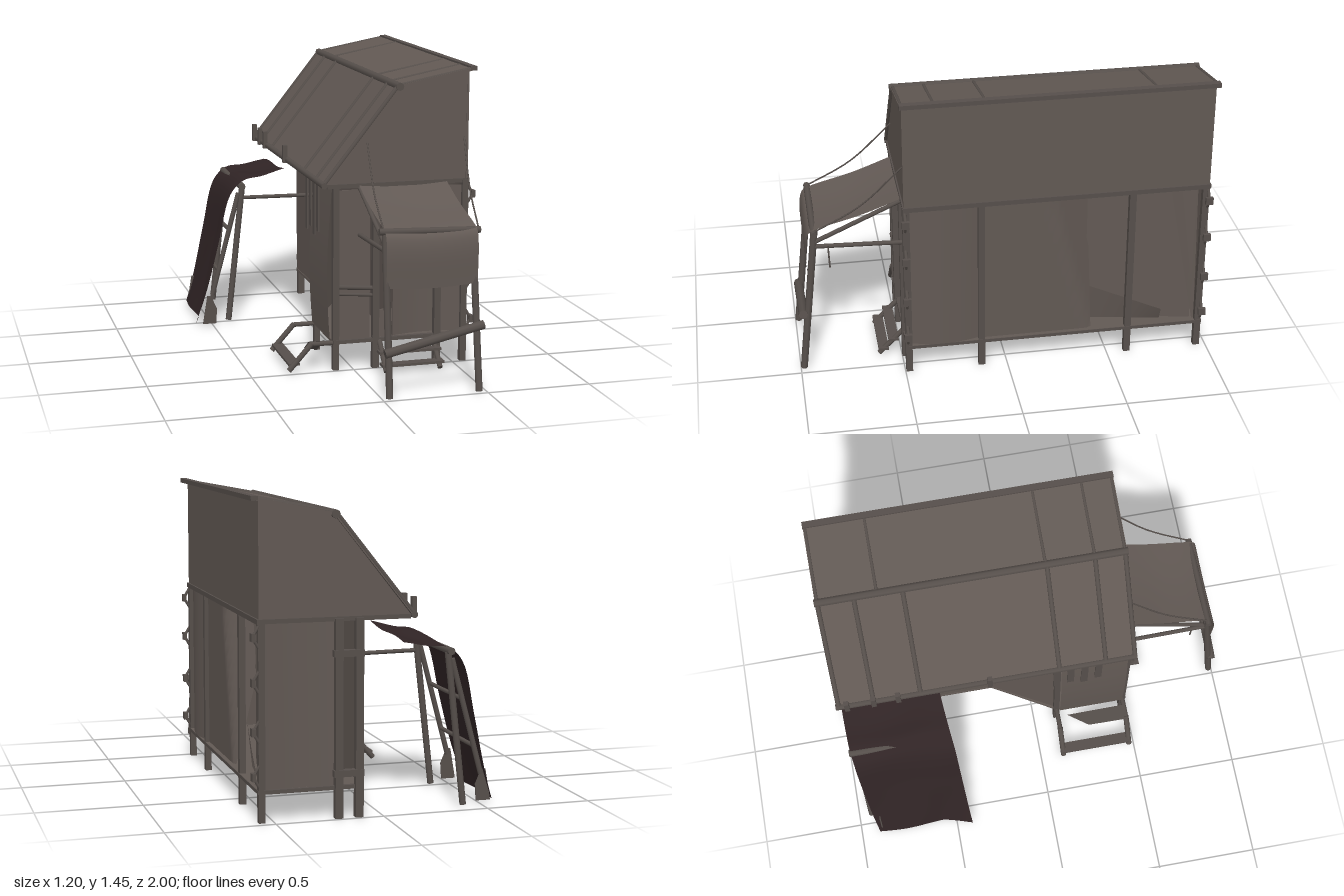
import * as THREE from 'three';

const V = (x, y, z) => new THREE.Vector3(x, y, z);

export function createModel() {
  const model = new THREE.Group();
  model.name = 'stiltHut';
  const mat = (name, color) => {
    const m = new THREE.MeshStandardMaterial({ color, side: THREE.DoubleSide });
    m.name = name;
    return m;
  };
  const wall = mat('weathered panel', 0x625954);
  const timber = mat('dark timber', 0x564f4b);
  const hide = mat('dark hide', 0x302425);

  const add = (name, geo, m) => {
    const mesh = new THREE.Mesh(geo, m);
    mesh.name = name;
    model.add(mesh);
    return mesh;
  };
  // Axis-aligned box given by its limits
  const box = (name, x0, x1, y0, y1, z0, z1, m = timber) =>
    add(name, new THREE.BoxGeometry(x1 - x0, y1 - y0, z1 - z0), m)
      .position.set((x0 + x1) / 2, (y0 + y1) / 2, (z0 + z1) / 2);
  // Round pole between two points
  const pole = (name, a, b, r = 0.014, m = timber) => {
    const mesh = add(name, new THREE.CylinderGeometry(r, r, a.distanceTo(b), 8), m);
    mesh.position.copy(a).lerp(b, 0.5);
    mesh.quaternion.setFromUnitVectors(V(0, 1, 0), b.clone().sub(a).normalize());
  };
  // Surface from a rule p(u, v)
  const sheet = (name, p, nu, nv, m = wall) => {
    const geo = new THREE.PlaneGeometry(1, 1, nu, nv);
    const pos = geo.attributes.position;
    for (let i = 0; i < pos.count; i++) {
      const q = p(pos.getX(i) + 0.5, pos.getY(i) + 0.5);
      pos.setXYZ(i, q.x, q.y, q.z);
    }
    geo.computeVertexNormals();
    add(name, geo, m);
  };
  // Flat polygon in x and y, extruded along z
  const slab = (name, pts, z0, z1, m = wall) => {
    const shape = new THREE.Shape(pts.map(([x, y]) => new THREE.Vector2(x, y)));
    const geo = new THREE.ExtrudeGeometry(shape, { depth: z1 - z0, bevelEnabled: false });
    add(name, geo, m).position.z = z0;
  };

  // Floor, wider at the front where the side porch is
  const floor = new THREE.Shape([[0.57, -0.49], [-0.1, -0.49], [-0.1, -0.12], [0.085, 0.2], [0.085, 0.97], [0.57, 0.97]]
    .map(([x, y]) => new THREE.Vector2(x, y)));
  const floorGeo = new THREE.ExtrudeGeometry(floor, { depth: 0.014, bevelEnabled: false });
  floorGeo.rotateX(-Math.PI / 2);
  add('floor', floorGeo, wall).position.y = 0.132;
  box('loftFloor', -0.12, 0.56, 0.895, 0.902, -0.96, 0.48, wall);

  // Stilts and frame posts
  for (const z of [0.48, 0.125, -0.6, -0.955]) box('sidePost', 0.54, 0.57, 0, 0.9, z - 0.016, z + 0.016);
  for (const z of [0.475, 0.12]) box('porchPost', -0.1, -0.07, 0, 0.9, z - 0.015, z + 0.015);
  for (const x of [0.11, 0.205]) box('backDoorPost', x - 0.018, x + 0.018, 0, 0.9, -0.99, -0.955);
  for (const y of [0.22, 0.76]) box('backDoorBracket', 0.09, 0.23, y - 0.03, y, -0.995, -0.96);
  for (const x of [0.11, 0.42]) box('frontPost', x - 0.016, x + 0.016, 0, 0.88, 0.468, 0.5);

  // Horizontal beams
  for (const z of [0.483, -0.963]) {
    box('endBeam', -0.13, 0.575, 0.888, 0.908, z - 0.012, z + 0.012);
    box('endSill', z > 0 ? -0.1 : 0.085, 0.57, 0.13, 0.148, z - 0.01, z + 0.01);
  }
  box('highSideBeam', 0.555, 0.575, 0.885, 0.908, -0.975, 0.495);
  box('highSideSill', 0.555, 0.573, 0.13, 0.146, -0.97, 0.49);
  pole('eavePole', V(-0.145, 0.905, -0.985), V(-0.145, 0.905, 0.5), 0.016);

  // Upper walls
  const gable = [[-0.14, 0.905], [0.219, 1.357], [0.565, 1.427], [0.565, 0.905]];
  slab('frontGable', gable, 0.478, 0.488);
  slab('backGable', gable, -0.968, -0.958);
  box('upperSideWall', 0.557, 0.567, 0.9, 1.43, -0.97, 0.49, wall);

  // Two-pitch roof with battens
  slab('steepRoof', [[-0.15, 0.905], [-0.14, 0.9], [0.225, 1.355], [0.215, 1.365]], -0.98, 0.5);
  slab('shallowRoof', [[0.215, 1.352], [0.6, 1.428], [0.6, 1.442], [0.215, 1.366]], -0.98, 0.5);
  pole('ridgePole', V(0.22, 1.36, -0.985), V(0.22, 1.36, 0.505), 0.02);
  box('topEdge', 0.57, 0.602, 1.424, 1.445, -0.982, 0.502);
  for (const z of [-0.97, -0.8, -0.57, 0.115, 0.345, 0.49])
    pole('steepBatten', V(-0.14, 0.915, z), V(0.215, 1.362, z), 0.012);
  for (const z of [-0.97, -0.69, 0.11, 0.345, 0.49])
    pole('shallowBatten', V(0.22, 1.366, z), V(0.59, 1.436, z), 0.008);
  for (const z of [-0.93, -0.8, -0.68, -0.23]) box('eavePeg', -0.17, -0.148, 0.89, 0.98, z - 0.012, z + 0.012);

  // Inner walls on both sides of the passage
  sheet('outerPassageWall', (u, v) => V(0.088, 0.14 + v * 0.75, -0.965 + u * 0.765), 1, 1);
  sheet('porchBackWall', (u, v) => V(0.088 - 0.17 * u, 0.14 + v * 0.75, -0.2 + u * 0.31), 1, 1);
  sheet('innerPassageWall', (u, v) => V(0.205, 0.14 + v * 0.75, -0.96 + u * 1.43), 1, 1);

  // Lower walls: slack panels stretched between posts
  sheet('sidePanelFront', (u, v) => V(0.545 + 0.028 * Math.sin(u * Math.PI), 0.14 + v * 0.745, 0.48 - u * 0.345), 10, 1);
  sheet('sidePanelMiddle', (u, v) => {
    const crease = 0.62 + 0.36 * (1 - v);
    return V(0.55 - Math.max(0, u - crease) * 0.5, 0.14 + v * 0.745, 0.115 - u * 0.535);
  }, 24, 12);
  sheet('sideCurtain', (u, v) => V(0.44 + 0.095 * u, 0.14 + v * 0.745, -0.41 - u * 0.51), 1, 1);
  sheet('sidePanelBack', (u, v) => V(0.545 - 0.06 * u * v, 0.14 + v * 0.745, -0.94 + (1 - u) * (0.01 + 0.14 * v)), 6, 6);
  sheet('bedroll', (u, v) => V(0.455 + 0.065 * u + 0.03 * v, 0.145 + v * (0.2 - 0.13 * u), -0.42 - u * 0.35), 6, 2);
  sheet('backPanel', (u, v) => V(0.2 + u * 0.35, 0.14 + v * 0.745, -0.963 + 0.02 * Math.sin(u * Math.PI)), 10, 1);
  sheet('frontPanel', (u, v) => V(0.2 + u * 0.345, 0.15 + v * 0.725, 0.478 - 0.03 * Math.sin(u * Math.PI)), 10, 1);
  box('frontNarrowPanel', -0.07, 0.085, 0.145, 0.875, 0.468, 0.476, wall);
  pole('frontShelfRail', V(-0.07, 0.41, 0.485), V(0.1, 0.395, 0.485), 0.012);
  pole('frontShelfRailLower', V(-0.07, 0.375, 0.485), V(0.1, 0.36, 0.485), 0.008);
  box('frontDoorThreshold', 0.12, 0.2, 0.145, 0.28, 0.455, 0.465, wall);
  sheet('porchFlap', (u, v) => V(-0.1 - 0.025 * Math.sin((0.15 + 0.85 * v) * Math.PI), 0.15 + v * 0.74, 0.135 + u * 0.335), 6, 10);
  for (let i = 0; i < 4; i++)
    box('hangingStrip', -0.133, -0.127, 0.62 + 0.03 * (i % 2), 0.9, 0.09 + i * 0.07, 0.125 + i * 0.07);

  // Lacing loops on the high-side corners
  for (const z of [0.485, -0.965])
    for (const y of [0.83, 0.63, 0.41, 0.21]) {
      const tip = V(0.595, y, z);
      pole('lacingLoop', V(0.565, y + 0.05, z), tip, 0.007);
      pole('lacingLoop', tip, V(0.565, y - 0.05, z), 0.007);
      box('lacingKnot', 0.585, 0.602, y - 0.018, y + 0.018, z - 0.018, z + 0.018);
    }

  // Front awning, draped over its crossbar
  const awning = new THREE.CatmullRomCurve3([V(0, 0.9, 0.49), V(0, 0.83, 0.68), V(0, 0.775, 0.88),
    V(0, 0.755, 0.925), V(0, 0.69, 0.945), V(0, 0.51, 0.94)]);
  sheet('frontAwning', (u, v) => {
    const p = awning.getPoint(1 - v);
    const sag = 0.012 * Math.sin(u * Math.PI);
    return V(0.025 + u * 0.435, p.y - sag, p.z);
  }, 10, 24);
  pole('awningBar', V(0.0, 0.765, 0.905), V(0.48, 0.75, 0.905), 0.016);
  for (const [x, top, bottom] of [[0.03, 0.03, 0.03], [0.45, 0.445, 0.46]]) {
    pole('awningLeg', V(bottom, 0.008, 0.985), V(top, 0.76, 0.9), 0.017);
    pole('awningTie', V(x, 0.66, 0.49), V(x, 0.675, 0.91), 0.011);
    pole('awningRafter', V(x, 0.885, 0.49), V(x, 0.7, 0.9), 0.011);
    pole('awningCord', V(x + 0.01, 0.68, 0.84), V(x + 0.01, 0.56, 0.835), 0.004);
  }
  pole('awningCrossRail', V(0.01, 0.215, 0.975), V(0.48, 0.32, 0.975), 0.022);
  for (const [a, b, c] of [[V(0.065, 1.1, 0.49), V(0.04, 0.9, 0.69), V(0.02, 0.77, 0.91)],
    [V(0.545, 1.11, 0.49), V(0.505, 0.9, 0.69), V(0.47, 0.76, 0.91)]])
    add('awningRope', new THREE.TubeGeometry(new THREE.CatmullRomCurve3([a, b, c]), 10, 0.004, 5), timber);

  // Front steps
  for (const x of [0.13, 0.4]) pole('frontStepRail', V(x, 0.135, 0.49), V(x, 0.012, 0.61), 0.013);
  for (const [y, z] of [[0.09, 0.54], [0.04, 0.59]]) box('frontTread', 0.11, 0.42, y - 0.006, y + 0.006, z - 0.025, z + 0.025);

  // Side porch steps
  for (const z of [0.12, 0.475]) {
    pole('porchStepArm', V(-0.1, 0.135, z), V(-0.21, 0.135, z), 0.012);
    pole('porchStepLeg', V(-0.2, 0.14, z), V(-0.315, 0.012, z), 0.014);
  }
  box('porchTread', -0.315, -0.26, 0.034, 0.046, 0.12, 0.475);
  sheet('porchRamp', (u, v) => V(-0.1 - 0.04 * v - (0.09 - 0.01 * v) * u, 0.015 + 0.135 * v + 0.045 * u * (1 - v),
    0.18 + 0.3 * v + 0.1 * u * (1 - v)), 2, 2, timber);

  // Hide lean-to at the back of the low side, its front hem corner kicked outwards
  const drape = new THREE.CatmullRomCurve3([V(-0.1, 0.795, 0), V(-0.22, 0.765, 0), V(-0.32, 0.755, 0),
    V(-0.385, 0.69, 0), V(-0.45, 0.44, 0), V(-0.51, 0.2, 0), V(-0.56, 0.02, 0)]);
  sheet('hideCover', (u, v) => {
    const t = 1 - v;
    const p = drape.getPoint(t);
    const ripple = 0.006 * Math.sin(u * 7 + t * 9);
    return V(p.x + ripple * t - 0.035 * (Math.max(0, u - 0.7) / 0.3) * t * t, p.y + ripple * v + 0.03 * (u - 0.5) * v,
      -0.965 + 0.06 * t * t + u * (0.485 + 0.06 * t - 0.06 * t * t));
  }, 20, 36, hide);
  for (const z of [-0.89, -0.435])
    slab('hideSideFlap', [[-0.555, 0.012], [-0.485, 0.012], [-0.48, 0.09], [-0.51, 0.16], [-0.53, 0.16]], z - 0.003, z + 0.003, timber);
  pole('leanToBar', V(-0.33, 0.728, -0.965), V(-0.33, 0.728, -0.47), 0.018);
  for (const z of [-0.93, -0.5]) {
    pole('leanToLeg', V(-0.405, 0.01, z), V(-0.325, 0.72, z), 0.016);
    pole('leanToRafter', V(-0.49, 0.15, z), V(-0.345, 0.69, z), 0.013);
  }
  pole('leanToTie', V(-0.34, 0.665, -0.5), V(0.08, 0.66, -0.5), 0.01);
  for (const [x, y] of [[-0.4, 0.5], [-0.455, 0.28]])
    pole('leanToRung', V(x, y, -0.93), V(x, y, -0.5), 0.01);
  return model;
}
